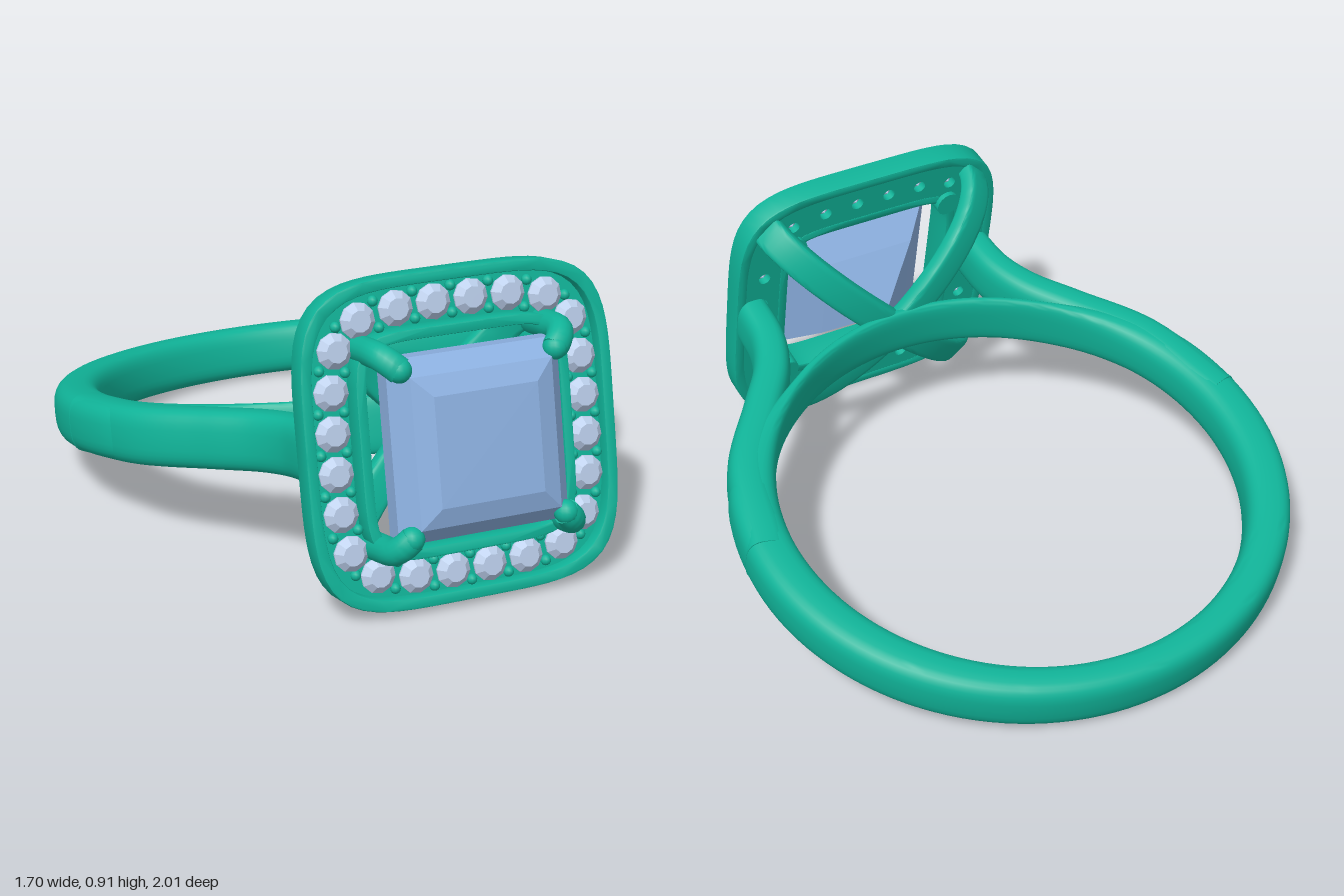
import * as THREE from 'three';
import { toCreasedNormals } from 'three/addons/utils/BufferGeometryUtils.js';

const metal = new THREE.MeshStandardMaterial({ color: 0x10b398 });
const gemMat = new THREE.MeshStandardMaterial({ color: 0x8cb0e0, flatShading: true });
const paveMat = new THREE.MeshStandardMaterial({ color: 0xb9cce8, flatShading: true });
const V = (x, y, z) => new THREE.Vector3(x, y, z);

function add(parent, name, geometry, material = metal) {
  const mesh = new THREE.Mesh(geometry, material);
  mesh.name = name;
  parent.add(mesh);
  return mesh;
}

// Sweeps a rounded (superellipse) section along a planar curve; up is normal to its plane.
function sweep(curve, up, width, height, { steps = 40, sides = 24, power = 3, closed = false } = {}) {
  const pos = [], idx = [];
  const soft = (v) => Math.sign(v) * Math.abs(v) ** (2 / power);
  for (let i = 0; i <= steps; i++) {
    const t = i / steps;
    const p = curve.getPoint(t);
    const side = curve.getTangent(t).cross(up).normalize();
    const w = typeof width === 'function' ? width(t) : width;
    for (let j = 0; j < sides; j++) {
      const a = (j / sides) * Math.PI * 2;
      const q = p.clone().addScaledVector(side, soft(Math.cos(a)) * w / 2)
        .addScaledVector(up, soft(Math.sin(a)) * height / 2);
      pos.push(q.x, q.y, q.z);
    }
  }
  for (let i = 0; i < steps; i++) for (let j = 0; j < sides; j++) {
    const a = i * sides + j, b = i * sides + (j + 1) % sides;
    idx.push(a, a + sides, b, b, a + sides, b + sides);
  }
  if (!closed) {
    const end = steps * sides;
    for (let j = 1; j < sides - 1; j++) {
      idx.push(0, j, j + 1, end, end + j + 1, end + j);
    }
  }
  const g = new THREE.BufferGeometry();
  g.setAttribute('position', new THREE.Float32BufferAttribute(pos, 3));
  g.setIndex(idx);
  return toCreasedNormals(g, 0.7);
}

// Cushion outline: a square with bowed sides and round corners.
function cushion(half, power) {
  const pts = [];
  for (let i = 0; i < 96; i++) {
    const a = (i / 96) * Math.PI * 2, c = Math.cos(a), s = Math.sin(a);
    const r = half / (Math.abs(c) ** power + Math.abs(s) ** power) ** (1 / power);
    pts.push(new THREE.Vector2(c * r, s * r));
  }
  return pts;
}

function frame(outer, inner, z0, z1, bevel, extraHoles = []) {
  const shape = new THREE.Shape(outer);
  shape.holes.push(new THREE.Path(inner), ...extraHoles);
  const g = new THREE.ExtrudeGeometry(shape, {
    depth: z1 - z0 - 2 * bevel, bevelEnabled: bevel > 0, bevelSize: bevel,
    bevelThickness: bevel, bevelOffset: -bevel, bevelSegments: 2, curveSegments: 8,
  });
  g.translate(0, 0, z0 + bevel);
  return toCreasedNormals(g, 0.6);
}

// Faceted stone from a [radius, z] profile, culet first.
function cutStone(profile, sides) {
  const pts = profile.map(([r, z]) => new THREE.Vector2(r, z));
  return new THREE.LatheGeometry(pts, sides, Math.PI / 4).rotateX(Math.PI / 2).toNonIndexed();
}

function buildBand(ring) {
  // Finger band: constant inner radius, thinning towards the setting
  const width = (t) => {
    const c = Math.cos(t * Math.PI * 2);
    return c < 0 ? 0.145 - 0.03 * c * c : 0.145 - 0.105 * THREE.MathUtils.smoothstep(c, 0.3, 0.85);
  };
  const circle = new THREE.Curve();
  circle.getPoint = (t) => {
    const a = t * Math.PI * 2, r = 0.703 + width(t) / 2;
    return V(Math.sin(a) * r, 0, Math.cos(a) * r);
  };
  circle.getTangent = (t) => V(Math.cos(t * Math.PI * 2), 0, -Math.sin(t * Math.PI * 2));
  add(ring, 'band', sweep(circle, V(0, 1, 0), width, 0.168, { steps: 128, sides: 32, closed: true }));

  // Shoulders that leave the band and reach the halo
  for (const s of [-1, 1]) {
    const path = new THREE.CatmullRomCurve3([
      V(s * 0.783, 0, 0.05), V(s * 0.7, 0, 0.355), V(s * 0.555, 0, 0.56),
      V(s * 0.455, 0, 0.7), V(s * 0.41, 0, 0.82), V(s * 0.4, 0, 0.96),
    ]);
    add(ring, s > 0 ? 'leftShoulder' : 'rightShoulder',
      sweep(path, V(0, 1, 0), (t) => 0.13 - 0.025 * t, 0.172, { sides: 32 }));
  }
}

function buildHalo(head) {
  // Six stones along each of the four sides
  const spots = [];
  for (let k = 0; k < 4; k++) {
    for (const [x, y] of [[-0.275, 0.347], [-0.165, 0.366], [-0.055, 0.37], [0.055, 0.37], [0.165, 0.366], [0.275, 0.347]]) {
      const p = new THREE.Vector2(x, y).rotateAround(new THREE.Vector2(), -k * Math.PI / 2);
      spots.push(p);
    }
  }
  const drill = spots.map((p) => new THREE.Path().absarc(p.x, p.y, 0.02, 0, Math.PI * 2, true));
  add(head, 'haloPlate', frame(cushion(0.45, 4.6), cushion(0.288, 7), 0.947, 0.982, 0, drill));
  add(head, 'haloOuterRim', frame(cushion(0.457, 4.6), cushion(0.425, 4.6), 0.945, 1.022, 0.006));
  add(head, 'haloInnerRim', frame(cushion(0.313, 6), cushion(0.283, 7), 0.945, 1.05, 0.005));

  const stone = cutStone([[0, -0.045], [0.05, 0], [0.05, 0.006], [0.03, 0.026], [0, 0.026]], 10);
  const bead = new THREE.SphereGeometry(0.015, 10, 8);
  spots.forEach((p, i) => {
    add(head, 'haloStone', stone, paveMat).position.set(p.x, p.y, 1.0);
    const q = spots[(i + 1) % spots.length];
    const mid = p.clone().add(q).multiplyScalar(0.5);
    const out = new THREE.Vector2(q.y - p.y, p.x - q.x).normalize();
    for (const d of [-0.037, 0.037]) {
      add(head, 'haloBead', bead).position.set(mid.x + out.x * d, mid.y + out.y * d, 0.998);
    }
    // Small wall between neighbouring stones
    const wall = add(head, 'haloDivider', new THREE.BoxGeometry(0.012, 0.09, 0.022));
    wall.position.set(mid.x, mid.y, 0.985);
    wall.rotation.z = Math.atan2(out.y, out.x) - Math.PI / 2;
  });
}

function buildSetting(head) {
  // Square centre stone: deep pavilion, straight girdle, low domed crown
  const r2 = Math.SQRT2;
  add(head, 'centreStone', cutStone([
    [0, 0.803], [0.15 * r2, 0.94], [0.25 * r2, 1.05], [0.25 * r2, 1.11],
    [0.205 * r2, 1.165], [0.15 * r2, 1.185], [0, 1.187],
  ], 4), gemMat);

  // Corner prongs with rounded tips bent over the stone
  for (const sx of [-1, 1]) for (const sy of [-1, 1]) {
    const at = (d, z) => V(sx * d, sy * d, z);
    const up = V(-sy, sx, 0).normalize();
    const path = new THREE.CatmullRomCurve3([at(0.27, 0.93), at(0.268, 1.03), at(0.262, 1.105), at(0.245, 1.135), at(0.225, 1.148)]);
    add(head, 'prong', sweep(path, up, (t) => 0.08 - 0.02 * t * t, 0.075, { steps: 20, sides: 16, power: 2 }));
    const tip = add(head, 'prongTip', new THREE.SphereGeometry(0.034, 16, 12));
    tip.position.copy(at(0.226, 1.146));
  }

  // Two crossing arches carry the halo from behind
  for (const s of [-1, 1]) {
    const arch = new THREE.Curve();
    arch.getPoint = (t) => {
      const a = t * Math.PI, d = -Math.cos(a) * 0.355;
      return V(d, s * d, 0.96 - 0.22 * Math.sin(a));
    };
    add(head, 'supportArch', sweep(arch, V(-s, 1, 0).normalize(), 0.055, 0.1, { steps: 48, power: 5 }));
  }
}

export function createModel() {
  const model = new THREE.Group();
  model.name = 'ring';
  // Whole ring leans back, resting on the rear of the band and the lower halo edge
  const ring = new THREE.Group();
  ring.name = 'tiltedRing';
  ring.position.set(0, 0.26, -0.185);
  ring.rotation.x = -0.215;
  model.add(ring);
  const head = new THREE.Group();
  head.name = 'head';
  ring.add(head);
  buildBand(ring);
  buildHalo(head);
  buildSetting(head);
  return model;
}
